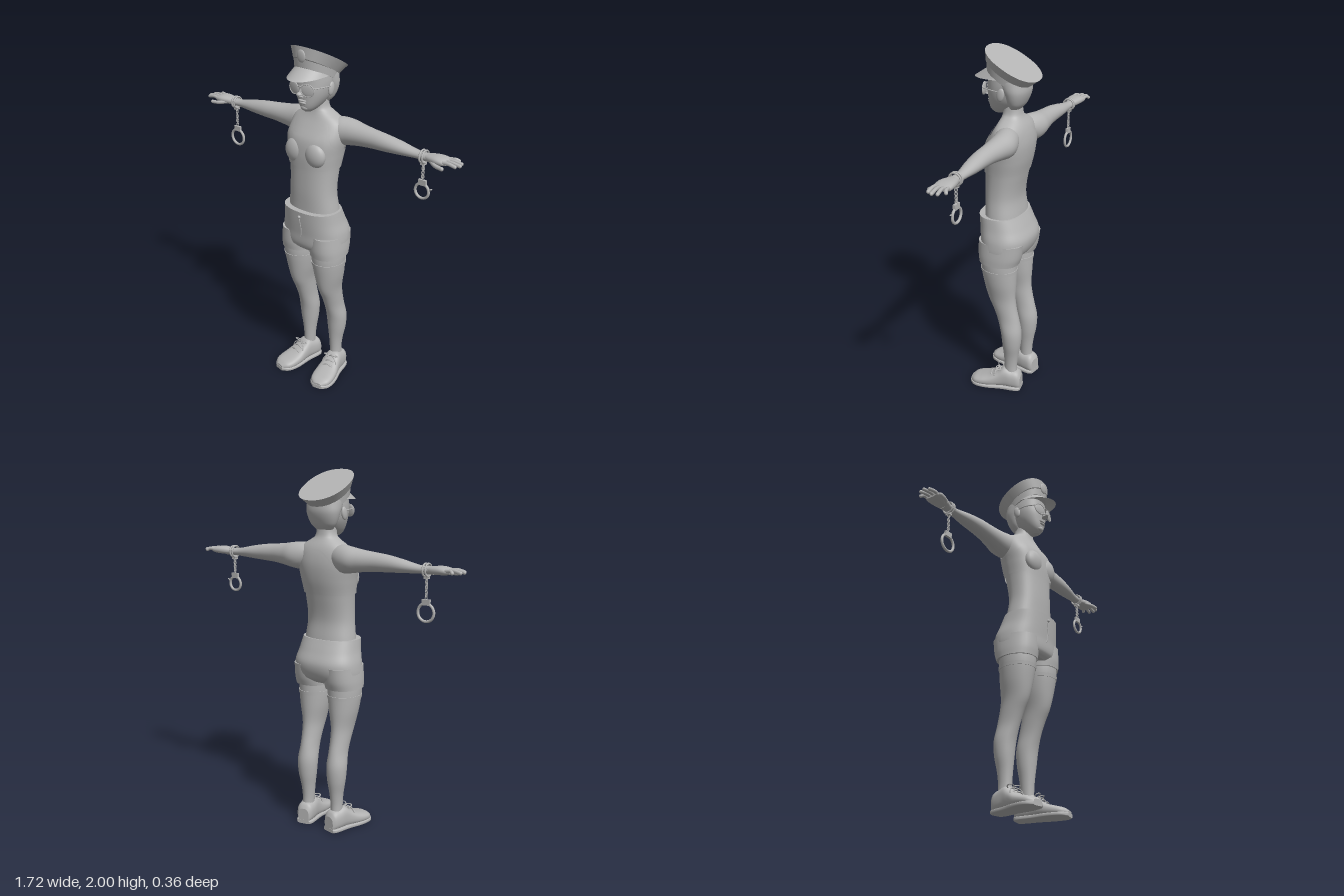
import * as THREE from 'three';

const grey = new THREE.MeshStandardMaterial({ color: 0xb4b4b4, side: THREE.DoubleSide });
grey.name = 'plain grey';

function add(parent, name, geometry, x = 0, y = 0, z = 0) {
  const m = new THREE.Mesh(geometry, grey);
  m.name = name;
  m.position.set(x, y, z);
  parent.add(m);
  return m;
}
function sub(parent, name) {
  const g = new THREE.Group();
  g.name = name;
  parent.add(g);
  return g;
}

// Cross-section rows are [y, centreX, halfWidth, frontZ, backZ]; smooth blend at any y
function rowAt(rows, y) {
  let i = 0;
  while (i < rows.length - 2 && y > rows[i + 1][0]) i++;
  const a = rows[i], b = rows[i + 1], p = rows[i - 1] || a, q = rows[i + 2] || b;
  const h = b[0] - a[0], t = (y - a[0]) / h, t2 = t * t, t3 = t2 * t;
  return a.map((v, c) => {
    const ma = (b[c] - p[c]) / (b[0] - p[0]) * h, mb = (q[c] - v) / (q[0] - a[0]) * h;
    return (2 * t3 - 3 * t2 + 1) * v + (t3 - 2 * t2 + t) * ma + (3 * t2 - 2 * t3) * b[c] + (t3 - t2) * mb;
  });
}
function ringPoint(rows, y, angle, e, grow = 0) {
  const [, cx, w, f, b] = rowAt(rows, y);
  const pw = v => Math.sign(v) * Math.abs(v) ** (2 / e);
  return [cx + (w + grow) * pw(Math.cos(angle)), y, (f + b) / 2 + ((f - b) / 2 + grow) * pw(Math.sin(angle))];
}
// Skin over rings; heights(angle, t) lets the rim vary around the body
function skin(rows, heights, steps, e, n, grow, caps) {
  const pos = [], idx = [];
  for (let j = 0; j <= steps; j++) for (let i = 0; i < n; i++) {
    const a = i / n * Math.PI * 2;
    pos.push(...ringPoint(rows, heights(a, j / steps), a, e, grow));
  }
  for (let j = 0; j < steps; j++) for (let i = 0; i < n; i++) {
    const a = j * n + i, d = j * n + (i + 1) % n;
    idx.push(a, a + n, d + n, a, d + n, d);
  }
  if (caps) for (const top of [false, true]) {
    const src = top ? steps * n : 0, base = pos.length / 3, c = rowAt(rows, rows[top ? rows.length - 1 : 0][0]);
    for (let k = src * 3; k < (src + n) * 3; k++) pos.push(pos[k]);
    pos.push(c[1], c[0], (c[3] + c[4]) / 2);
    for (let i = 0; i < n; i++) {
      const a = base + i, d = base + (i + 1) % n;
      idx.push(base + n, top ? d : a, top ? a : d);
    }
  }
  const g = new THREE.BufferGeometry();
  g.setAttribute('position', new THREE.Float32BufferAttribute(pos, 3));
  g.setIndex(idx);
  g.computeVertexNormals();
  return g;
}
function loft(rows, e = 2, n = 32, grow = 0) {
  const y0 = rows[0][0], y1 = rows[rows.length - 1][0];
  return skin(rows, (a, t) => y0 + (y1 - y0) * t, rows.length * 4, e, n, grow, true);
}
function shear(g, slope) {
  const p = g.attributes.position;
  for (let i = 0; i < p.count; i++) p.setY(i, p.getY(i) + slope * p.getZ(i));
  g.computeVertexNormals();
  return g;
}
function rod(parent, name, pts, r, n = 8) {
  const curve = new THREE.CatmullRomCurve3(pts.map(p => new THREE.Vector3(...p)));
  add(parent, name, new THREE.TubeGeometry(curve, 4 * pts.length, r, n));
  for (const p of [pts[0], pts[pts.length - 1]]) add(parent, name + 'End', new THREE.SphereGeometry(r, n, 6), ...p);
}
function blob(parent, name, x, y, z, sx, sy, sz) {
  const m = add(parent, name, new THREE.SphereGeometry(1, 24, 16), x, y, z);
  m.scale.set(sx, sy, sz);
  return m;
}

const torsoRows = [
  [1.02, 0, .16, .10, -.11], [1.1, 0, .15, .10, -.10], [1.2, 0, .138, .102, -.09], [1.33, 0, .142, .10, -.11],
  [1.42, 0, .155, .10, -.13], [1.5, 0, .168, .088, -.138], [1.56, 0, .165, .055, -.132], [1.6, 0, .145, .032, -.12],
  [1.628, 0, .10, .02, -.105], [1.65, 0, .063, .014, -.092], [1.7, 0, .052, .012, -.085], [1.74, 0, .052, .012, -.085]];

function buildTorso(model) {
  add(model, 'torso', loft(torsoRows, 2.3, 48));
  // Crop top: scooped neck, shoulder straps, narrow back
  const rim = a => {
    const c = Math.abs(Math.cos(a)), s = Math.sin(a);
    return s > 0 ? 1.45 + .08 * s + .09 * Math.exp(-(((c - .62) / .13) ** 2)) : 1.45 + .14 * s ** 4;
  };
  add(model, 'cropTop', skin(torsoRows, (a, t) => 1.345 + (rim(a) - 1.345) * t, 16, 2.3, 96, .006, false));
  for (const s of [-1, 1]) blob(model, 'bust', s * .066, 1.425, .075, .066, .07, .04);
  // Shorts
  add(model, 'shorts', loft([[.85, 0, .17, .085, -.10], [.88, 0, .193, .112, -.14], [.96, 0, .193, .12, -.162],
    [1.03, 0, .177, .127, -.137], [1.095, 0, .167, .132, -.108]], 2.4, 48));
  add(model, 'waistButton', new THREE.SphereGeometry(.009, 12, 8), 0, 1.065, .131);
  rod(model, 'fly', [[0, 1.05, .129], [.006, .99, .123], [0, .94, .118]], .003);
}

function buildHead(model) {
  const head = sub(model, 'head');
  add(head, 'face', loft([[1.652, 0, .018, .07, .02], [1.665, 0, .036, .085, -.01], [1.69, 0, .057, .094, -.05],
    [1.73, 0, .079, .098, -.09], [1.77, 0, .091, .1, -.108], [1.81, 0, .096, .097, -.118], [1.86, 0, .095, .095, -.12]], 2.2, 40));
  add(head, 'hair', loft([[1.69, 0, .052, -.03, -.085], [1.72, 0, .078, -.02, -.108], [1.78, 0, .099, 0, -.13],
    [1.83, 0, .102, .03, -.13], [1.86, 0, .1, .04, -.126]], 2.2, 32));
  // Nose, lips and ears
  const nose = add(head, 'nose', new THREE.ConeGeometry(.018, .065, 16), 0, 1.775, .106);
  nose.rotation.x = -.3;
  blob(head, 'noseTip', 0, 1.757, .118, .016, .012, .019);
  blob(head, 'upperLip', 0, 1.718, .096, .026, .006, .011);
  blob(head, 'lowerLip', 0, 1.706, .094, .022, .007, .011);
  blob(head, 'chin', 0, 1.678, .075, .026, .018, .02);
  for (const s of [-1, 1]) {
    blob(head, 'ear', s * .1, 1.775, -.015, .011, .036, .021).rotation.x = -.2;
    // Rounded sunglasses
    const lens = blob(head, 'lens', s * .045, 1.782, .108, .037, .032, .006);
    lens.rotation.y = s * .25;
    const frame = add(head, 'lensFrame', new THREE.TorusGeometry(.037, .003, 8, 32), s * .045, 1.782, .11);
    frame.scale.y = .87;
    frame.rotation.y = s * .25;
    rod(head, 'glassesArm', [[s * .08, 1.795, .1], [s * .1, 1.795, .05], [s * .104, 1.79, -.015]], .003);
  }
  rod(head, 'glassesBridge', [[-.012, 1.797, .118], [0, 1.8, .121], [.012, 1.797, .118]], .003);

  // Peaked cap
  const cap = sub(model, 'cap');
  add(cap, 'capBand', shear(loft([[1.842, 0, .102, .102, -.125], [1.885, 0, .107, .104, -.132]], 2.2, 48), .5));
  add(cap, 'capCrown', shear(loft([[1.885, 0, .109, .106, -.135], [1.946, 0, .14, .103, -.183]], 2.25, 48), .54));
  blob(cap, 'capBadge', 0, 1.952, .104, .027, .033, .008);
  const pos = [], idx = [], n = 24, m = 4;
  for (let j = 0; j <= m; j++) for (let i = 0; i <= n; i++) {
    const a = (i / n - .5) * Math.PI, t = j / m, c = Math.cos(a);
    pos.push(Math.sin(a) * (.1 + .004 * t), 1.85 + .042 * c - t * .054 * c, .008 + c * (.093 + .079 * t));
    if (i < n && j < m) {
      const k = j * (n + 1) + i;
      idx.push(k, k + n + 1, k + 1, k + 1, k + n + 1, k + n + 2);
    }
  }
  const visor = new THREE.BufferGeometry();
  visor.setAttribute('position', new THREE.Float32BufferAttribute(pos, 3));
  visor.setIndex(idx);
  visor.computeVertexNormals();
  add(cap, 'visor', visor);
}

function buildLeg(side) {
  add(side, 'leg', loft([[.09, .102, .033, -.04, -.118], [.15, .1, .033, -.041, -.116], [.22, .1, .039, -.037, -.124],
    [.3, .102, .052, -.03, -.138], [.38, .102, .057, -.02, -.142], [.46, .1, .05, .003, -.128], [.53, .1, .052, .03, -.112],
    [.6, .1, .058, .062, -.103], [.7, .1, .079, .085, -.106], [.8, .1, .091, .1, -.108], [.9, .1, .09, .1, -.11]]));
  add(side, 'shortsLeg', loft([[.825, .101, .098, .106, -.122], [.87, .1, .099, .112, -.137], [.95, .098, .095, .112, -.15]], 2.2));
  add(side, 'stockingTop', loft([[.765, .1, .091, .099, -.111], [.785, .1, .093, .102, -.112]]));

  // Shoe, turned slightly outward about the ankle
  const shoe = sub(side, 'shoe');
  shoe.position.set(.103, 0, -.08);
  shoe.rotation.y = .19;
  const upper = [[-.063, 0, .034, -.004, -.09], [-.05, 0, .045, -.004, -.114], [-.01, 0, .05, -.004, -.125],
    [.035, 0, .051, -.004, -.135], [.07, 0, .055, -.004, -.11], [.12, 0, .064, -.004, -.08], [.175, 0, .065, -.004, -.062],
    [.215, 0, .053, -.004, -.05], [.238, 0, .026, -.006, -.034]];
  const sole = upper.map(r => [r[0] * 1.01, 0, r[2] + .004, 0, -.022]);
  add(shoe, 'shoeUpper', loft(upper, 2.5).rotateX(Math.PI / 2));
  add(shoe, 'sole', loft(sole, 5).rotateX(Math.PI / 2));
  for (const k of [0, 1, 2]) rod(shoe, 'lace', [[-.03, .104 - k * .012, .06 + k * .026], [0, .121 - k * .015, .062 + k * .026],
    [.03, .104 - k * .012, .06 + k * .026]], .004);
  for (const s of [-1, 1]) {
    const bow = add(shoe, 'laceBow', new THREE.TorusGeometry(.016, .003, 6, 16), s * .02, .127, .066);
    bow.rotation.set(1.1, 0, s * .4);
    bow.scale.x = 1.4;
    rod(shoe, 'laceEnd', [[0, .126, .066], [s * .035, .112, .085], [s * .045, .088, .09]], .003);
  }
}

function buildArm(side) {
  // Arm rows run outward along x: [x, -height, halfHeight, frontZ, backZ]
  const arm = [[.07, -1.555, .05, -.01, -.11], [.13, -1.543, .074, .002, -.135], [.19, -1.542, .07, -.008, -.145],
    [.25, -1.542, .06, -.015, -.135], [.33, -1.542, .051, -.02, -.122], [.41, -1.54, .045, -.022, -.116],
    [.5, -1.535, .035, -.03, -.112], [.6, -1.528, .022, -.046, -.1], [.65, -1.527, .02, -.045, -.1], [.69, -1.528, .022, -.04, -.105]];
  add(side, 'arm', loft(arm).rotateZ(Math.PI / 2).scale(-1, -1, 1).rotateX(0).rotateY(0));
  const hand = sub(side, 'hand');
  add(hand, 'palm', loft([[.66, -1.528, .018, -.046, -.1], [.69, -1.53, .021, -.036, -.11], [.73, -1.532, .022, -.026, -.118],
    [.765, -1.531, .018, -.028, -.119], [.785, -1.53, .01, -.036, -.112]], 2.4).rotateZ(Math.PI / 2).scale(-1, -1, 1));
  const tips = [[.812, -.122], [.842, -.095], [.849, -.067], [.836, -.042]];
  tips.forEach(([x, z], i) => rod(hand, 'finger', [[.755, 1.533, -.106 + i * .022], [.8, 1.537, (z - .106 + i * .022) / 2], [x, 1.53, z]], .0095));
  rod(hand, 'thumb', [[.7, 1.522, -.045], [.74, 1.517, -.02], [.782, 1.515, -.012]], .0105);
}

function buildCuffs(side, ringY, r, open) {
  const cuffs = sub(side, 'handcuffs'), x = .643, z = -.07;
  // Wrist cuff
  for (const d of [-.008, .008]) {
    const wrist = add(cuffs, 'wristCuff', new THREE.TorusGeometry(.032, .005, 8, 32), x + d, 1.527, z);
    wrist.rotation.y = Math.PI / 2;
  }
  add(cuffs, 'wristLock', new THREE.BoxGeometry(.022, .02, .026), x, 1.493, z);
  // Chain of alternating links
  const top = 1.487, bottom = ringY + r + .022, links = 8;
  for (let i = 0; i < links; i++) {
    const link = add(cuffs, 'chainLink', new THREE.TorusGeometry(.007, .0022, 6, 12), x, top + (bottom - top) * (i + .5) / links, z);
    link.rotation.y = i % 2 * Math.PI / 2 + .4;
    link.scale.y = 1.5;
  }
  // Hanging cuff
  add(cuffs, 'cuffLock', new THREE.BoxGeometry(.045, .03, .014), x, ringY + r + .006, z);
  add(cuffs, 'hangingCuff', new THREE.TorusGeometry(r, .0075, 8, 40), x, ringY, z);
  if (open) rod(cuffs, 'openJaw', [[x + r, ringY, z], [x + r + .008, ringY + .018, z], [x + r + .016, ringY + .022, z]], .004);
}

export function createModel() {
  const model = new THREE.Group();
  model.name = 'figure';
  buildTorso(model);
  buildHead(model);
  for (const s of [1, -1]) {
    const side = sub(model, s > 0 ? 'leftSide' : 'rightSide');
    side.scale.x = s;
    buildLeg(side);
    buildArm(side);
    buildCuffs(side, s > 0 ? 1.34 : 1.313, s > 0 ? .04 : .046, s > 0);
  }
  return model;
}
